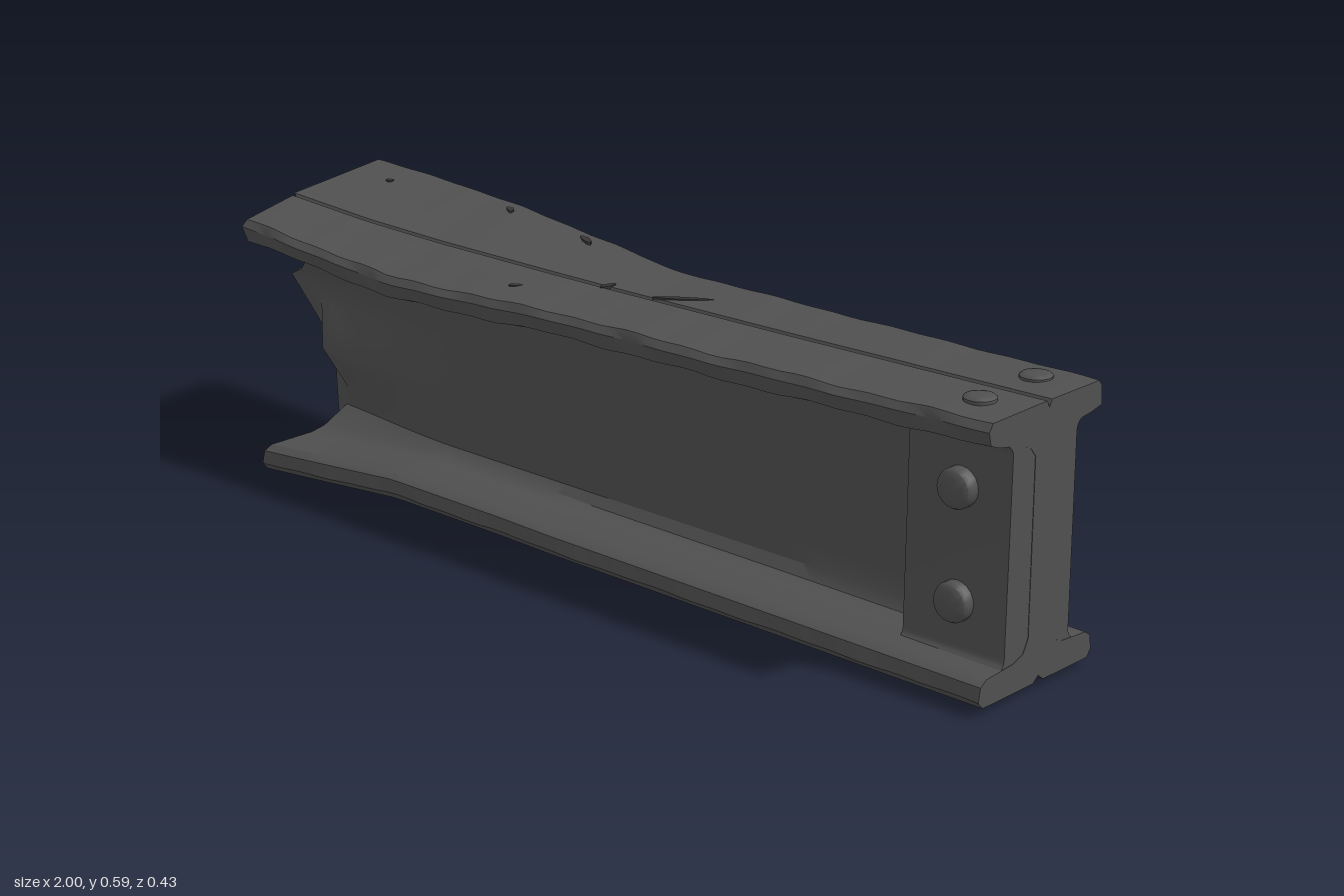
import * as THREE from 'three';
import { toCreasedNormals } from 'three/addons/utils/BufferGeometryUtils.js';

const steel = new THREE.MeshStandardMaterial({ color: 0x505050 });
steel.name = 'dark steel';
const scar = new THREE.MeshStandardMaterial({ color: 0x363636 });
scar.name = 'scarred steel';

// Deformation along the beam: one value per key position
const KEYS = [-0.95, -0.7, -0.5, -0.2, -0.05, 0.4, 1];
const BEND = {
  backZ: [-0.19, -0.185, -0.178, -0.16, -0.15, -0.145, -0.133],
  backY: [0.6, 0.594, 0.584, 0.561, 0.545, 0.549, 0.56],
  seamZ: [0.07, 0.055, 0.04, 0.022, 0.012, 0.01, 0.015],
  seamY: [0.58, 0.56, 0.55, 0.543, 0.54, 0.546, 0.56],
  frontZ: [0.203, 0.196, 0.192, 0.188, 0.186, 0.182, 0.177],
  frontY: [0.555, 0.532, 0.514, 0.526, 0.535, 0.541, 0.558],
  tilt: [1, 1, 0.9, 0.5, 0.1, 0, 0],
  baseY: [0.005, 0.022, 0.038, 0.036, 0.032, 0.03, 0.025],
  baseF: [0.215, 0.205, 0.2, 0.198, 0.196, 0.195, 0.19],
  baseB: [-0.165, -0.16, -0.155, -0.152, -0.15, -0.148, -0.145],
};
function at(name, x) {
  const v = BEND[name];
  let i = 0;
  while (i < KEYS.length - 2 && x > KEYS[i + 1]) i++;
  const t = THREE.MathUtils.clamp((x - KEYS[i]) / (KEYS[i + 1] - KEYS[i]), 0, 1);
  return THREE.MathUtils.lerp(v[i], v[i + 1], t);
}

// Torn edge of the web: height, x
const TEAR = [
  [0.12, -0.83], [0.16, -0.812], [0.215, -0.807], [0.245, -0.868], [0.3, -0.866], [0.335, -0.9],
  [0.355, -0.93], [0.375, -1], [0.392, -0.965], [0.417, -0.91], [0.445, -0.888], [0.465, -0.89],
];

// Closed I section; each entry gives the torn end x and a rule for (z, y) at x
function sectionRules() {
  const r = [];
  const add = (left, f) => r.push({ left, f });
  const nick = (x, s) => 0.003 * Math.sin(x * 31 + s) * Math.sin(x * 13 + s * 2);
  const web = (side, y) => (x) => {
    const k = THREE.MathUtils.smoothstep(-x, 0.45, 0.95);
    const mid = 0.018 + k * (0.018 * Math.sin(y * 26 + 1.5) - 0.005);
    return [mid + side * (0.032 - 0.016 * k), y];
  };
  // Bottom flange, underside and back edge
  add(-0.88, (x) => [at('baseF', x) - 0.012, at('baseY', x)]);
  add(-0.865, (x) => [0.03, at('baseY', x)]);
  add(-0.855, (x) => [0.015, at('baseY', x) + 0.012]);
  add(-0.865, (x) => [0, at('baseY', x)]);
  add(-0.88, (x) => [at('baseB', x) + 0.012, at('baseY', x)]);
  add(-0.885, (x) => [at('baseB', x) + nick(x, 1), at('baseY', x) + 0.014]);
  add(-0.88, (x) => [at('baseB', x) + 0.004, at('baseY', x) + 0.042]);
  add(-0.875, (x) => [at('baseB', x) + 0.02, at('baseY', x) + 0.053]);
  add(-0.86, (x) => [-0.055, at('baseY', x) + 0.058]);
  add(-0.85, (x) => [-0.028, at('baseY', x) + 0.068]);
  // Web, back face
  TEAR.forEach(([y, l]) => add(l, web(-1, y)));
  // Top flange, back half
  add(-0.9, () => [-0.03, 0.487]);
  add(-0.91, () => [-0.06, 0.5]);
  add(-0.92, (x) => [at('backZ', x) + 0.022 + 0.025 * at('tilt', x), at('backY', x) - 0.055 - 0.03 * at('tilt', x)]);
  add(-0.925, (x) => [at('backZ', x) - 0.01 - 0.02 * at('tilt', x), at('backY', x) - 0.045 - 0.01 * at('tilt', x) + nick(x, 2)]);
  add(-0.935, (x) => [at('backZ', x) - 0.008 - 0.004 * at('tilt', x), at('backY', x) - 0.012]);
  add(-0.935, (x) => [at('backZ', x), at('backY', x) + nick(x, 4) * 0.5]);
  // Split seam along the top
  add(-0.925, (x) => [at('seamZ', x) - 0.007, at('seamY', x)]);
  add(-0.905, (x) => [at('seamZ', x), at('seamY', x) - 0.014]);
  add(-0.915, (x) => [at('seamZ', x) + 0.007, at('seamY', x)]);
  // Top flange, front half
  add(-0.915, (x) => [at('frontZ', x), at('frontY', x) + nick(x, 3)]);
  add(-0.92, (x) => [at('frontZ', x) + 0.01 + nick(x, 6), at('frontY', x) - 0.015]);
  add(-0.91, (x) => [at('frontZ', x) + 0.004, at('frontY', x) - 0.043 + nick(x, 5)]);
  add(-0.905, (x) => [at('frontZ', x) - 0.02, at('frontY', x) - 0.05]);
  add(-0.9, (x) => [0.09, Math.min(0.495, at('frontY', x) - 0.03)]);
  add(-0.9, () => [0.064, 0.482]);
  // Web, front face
  [...TEAR].reverse().forEach(([y, l]) => add(l, web(1, y)));
  // Bottom flange, front edge
  add(-0.85, (x) => [0.064, at('baseY', x) + 0.068]);
  add(-0.86, (x) => [0.092, at('baseY', x) + 0.058]);
  add(-0.875, (x) => [at('baseF', x) - 0.02, at('baseY', x) + 0.053]);
  add(-0.88, (x) => [at('baseF', x) - 0.004, at('baseY', x) + 0.042]);
  add(-0.885, (x) => [at('baseF', x) + nick(x, 7), at('baseY', x) + 0.014]);
  return r;
}

// Loft the section along x and cap both ends
function beamGeometry() {
  const rules = sectionRules(), n = rules.length, steps = 56;
  const pos = [], idx = [];
  for (let k = 0; k <= steps; k++) {
    for (const { left, f } of rules) {
      const x = THREE.MathUtils.lerp(left, 1, k / steps);
      const [z, y] = f(x);
      pos.push(x, y, z);
    }
  }
  for (let k = 0; k < steps; k++) {
    for (let i = 0; i < n; i++) {
      const a = k * n + i, b = k * n + (i + 1) % n;
      idx.push(a, b, b + n, a, b + n, a + n);
    }
  }
  for (const k of [0, steps]) {
    const ring = rules.map((_, i) => new THREE.Vector2(-pos[(k * n + i) * 3 + 2], pos[(k * n + i) * 3 + 1]));
    for (const [a, b, c] of THREE.ShapeUtils.triangulateShape(ring, [])) {
      const o = k * n;
      if (k) idx.push(o + a, o + b, o + c);
      else idx.push(o + a, o + c, o + b);
    }
  }
  const g = new THREE.BufferGeometry();
  g.setAttribute('position', new THREE.Float32BufferAttribute(pos, 3));
  g.setIndex(idx);
  return toCreasedNormals(g, 0.55);
}

// Thick end block with small fillets into the flanges
function endBlockGeometry() {
  const s = new THREE.Shape();
  s.moveTo(-0.14, 0.075);
  s.lineTo(0.1, 0.075);
  s.quadraticCurveTo(0.073, 0.08, 0.072, 0.1);
  s.lineTo(0.072, 0.48);
  s.quadraticCurveTo(0.072, 0.5, 0.1, 0.507);
  s.lineTo(-0.14, 0.507);
  s.quadraticCurveTo(-0.114, 0.5, -0.114, 0.48);
  s.lineTo(-0.118, 0.1);
  s.quadraticCurveTo(-0.118, 0.08, -0.14, 0.075);
  const g = new THREE.ExtrudeGeometry(s, { depth: 0.229, bevelEnabled: false, curveSegments: 5 });
  g.rotateY(Math.PI / 2).translate(0.77, 0, 0);
  return toCreasedNormals(g, 0.6);
}

// Domed bolt head standing along +y
function boltGeometry(r, h) {
  const p = [[r, -0.01], [r, h * 0.55], [r * 0.9, h * 0.8], [r * 0.6, h * 0.97], [0, h]];
  return toCreasedNormals(new THREE.LatheGeometry(p.map(([a, b]) => new THREE.Vector2(a, b)), 20), 0.7);
}

export function createModel() {
  const model = new THREE.Group();
  model.name = 'brokenBeam';
  const add = (name, geo, mat = steel) => {
    const m = new THREE.Mesh(geo, mat);
    m.name = name;
    model.add(m);
    return m;
  };
  add('beam', beamGeometry());
  add('endBlock', endBlockGeometry());

  // Bolts on the block and the flanges
  const bigBolt = boltGeometry(0.039, 0.03), smallBolt = boltGeometry(0.031, 0.011);
  for (const y of [0.182, 0.398]) {
    const f = add('frontBolt', bigBolt);
    f.position.set(0.888, y, 0.115);
    f.rotation.x = Math.PI / 2;
    const b = add('backBolt', bigBolt);
    b.position.set(0.888, y, -0.073);
    b.rotation.x = -Math.PI / 2;
  }
  for (const z of [-0.073, 0.09]) {
    add('topBolt', smallBolt).position.set(0.905, 0.557, z);
    const b = add('bottomBolt', smallBolt);
    b.position.set(0.905, 0.025, z + 0.015);
    b.rotation.x = Math.PI;
  }

  // Scratches on the top: x, z, length, turn
  const scratches = [[0.1, -0.025, 0.12, 0.6], [-0.07, 0.006, 0.04, 1.4], [-0.5, -0.155, 0.05, -0.7],
    [-0.27, -0.14, 0.06, -0.5], [-0.82, -0.115, 0.018, 0], [-0.22, 0.11, 0.03, 0.9]];
  for (const [x, z, len, turn] of scratches) {
    const [az, ay] = z < at('seamZ', x) ? [at('backZ', x), at('backY', x)] : [at('frontZ', x), at('frontY', x)];
    const y = THREE.MathUtils.mapLinear(z, at('seamZ', x), az, at('seamY', x), ay);
    const m = add('scratch', new THREE.CylinderGeometry(1, 1, 0.006, 8), scar);
    m.scale.set(len / 2, 1, 0.008);
    m.rotation.y = turn;
    m.position.set(x, y - 0.001, z);
  }
  return model;
}
